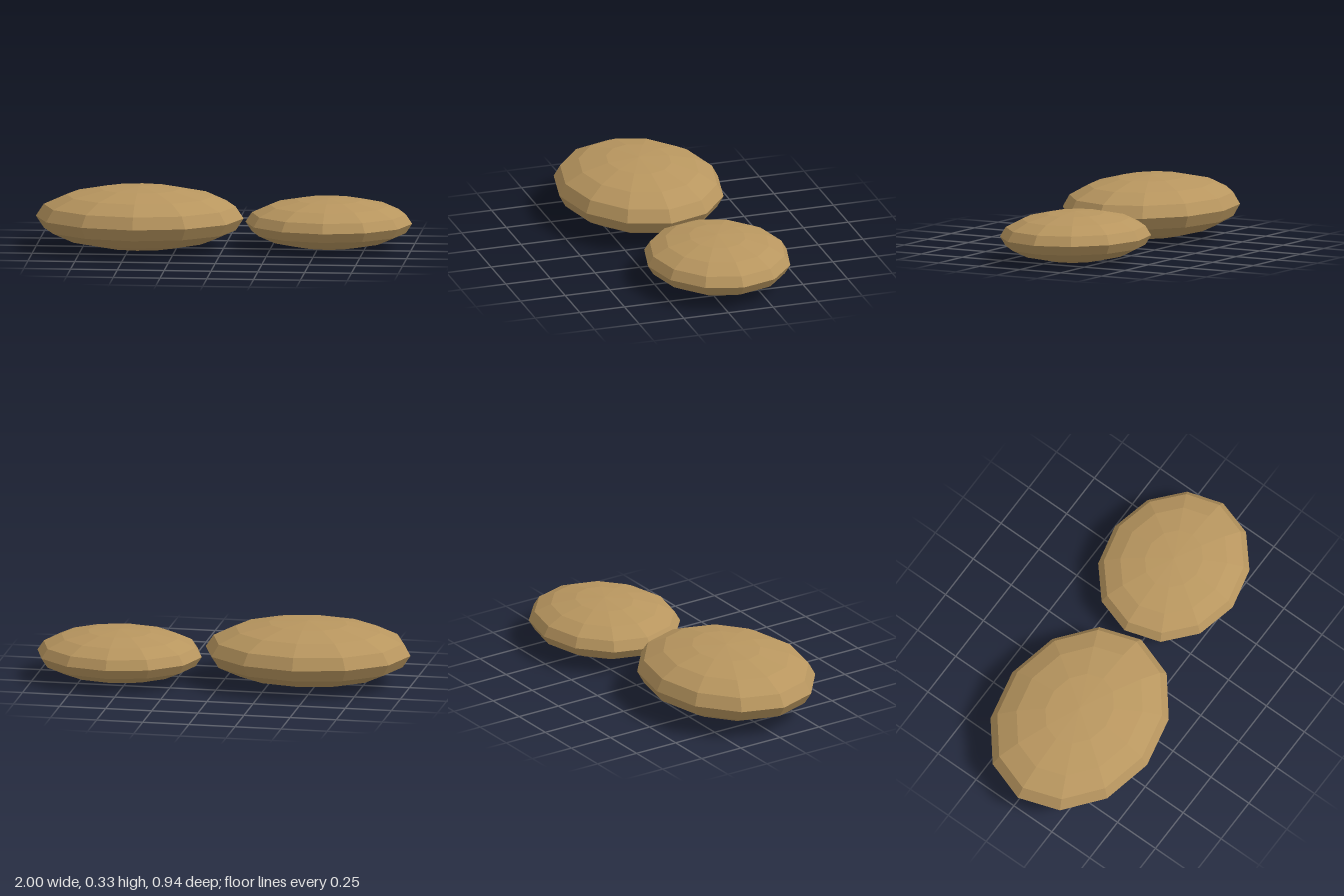
import * as THREE from 'three';

export function createModel() {
  const group = new THREE.Group();
  group.name = 'stones';
  const tan = new THREE.MeshStandardMaterial({ color: 0xb8965f, flatShading: true });
  tan.name = 'tan';

  // Flattened low-poly pebble, resting on the ground
  function addStone(name, x, z, rx, ry, rz) {
    const geometry = new THREE.SphereGeometry(1, 12, 8);
    geometry.scale(rx, ry, rz);
    const stone = new THREE.Mesh(geometry, tan);
    stone.name = name;
    stone.position.set(x, ry, z);
    group.add(stone);
  }

  addStone('largeStone', -0.445, 0.027, 0.555, 0.167, 0.444);
  addStone('smallStone', 0.555, -0.084, 0.445, 0.133, 0.388);
  return group;
}
